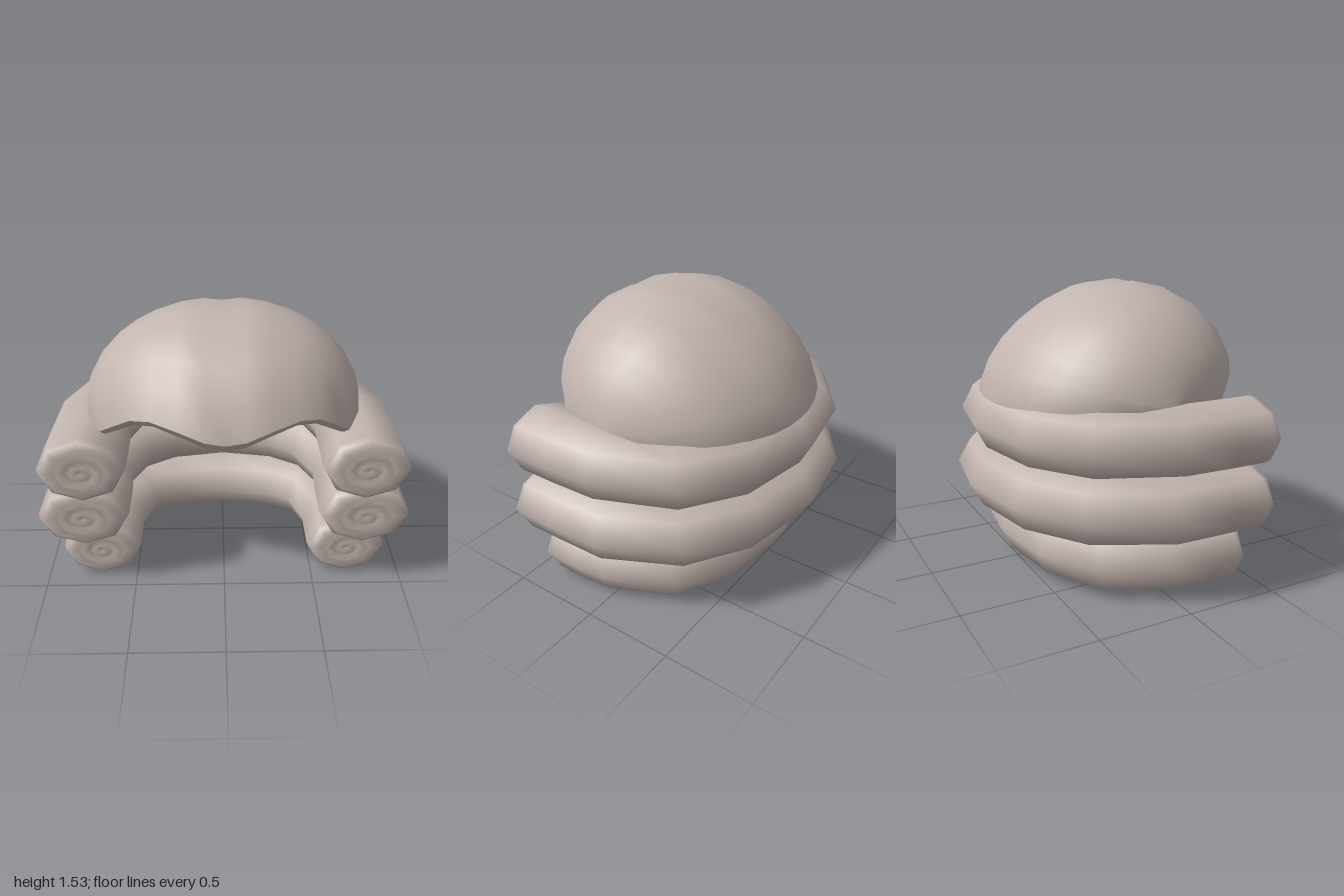
import * as THREE from 'three';

const hair = new THREE.MeshStandardMaterial({ color: 0xc2b4ae, side: THREE.DoubleSide });
hair.name = 'powderedHair';

// Skin a list of equal-length cross-sections with smooth normals.
function loft(name, rings, closed) {
  const n = rings[0].length, index = [];
  const cols = closed ? n : n - 1;
  for (let i = 0; i < rings.length - 1; i++) {
    for (let j = 0; j < cols; j++) {
      const k = (j + 1) % n;
      const a = i * n + j, b = (i + 1) * n + j, c = i * n + k, d = (i + 1) * n + k;
      index.push(a, b, c, b, d, c);
    }
  }
  const geo = new THREE.BufferGeometry();
  geo.setAttribute('position', new THREE.Float32BufferAttribute(rings.flat(2), 3));
  geo.setIndex(index);
  geo.computeVertexNormals();
  const mesh = new THREE.Mesh(geo, hair);
  mesh.name = name;
  return mesh;
}

// Octagonal horseshoe curl, with a swirl of ridges on each front end.
// half: [x, z] centreline from the left front to the back middle.
function makeRoll(name, half, y, halfW, halfH) {
  const path = [...half, ...half.slice(0, -1).reverse().map(([x, z]) => [-x, z])];
  const ring = ([x, z], [nx, nz], s, dz) => Array.from({ length: 8 }, (_, k) => {
    const a = k * Math.PI / 4, r = Math.cos(a) * halfW * s;
    return [x + nx * r, y + Math.sin(a) * halfH * s, z + nz * r + dz];
  });
  const swirl = [[0, 0.045], [0.22, 0.058], [0.35, 0.044], [0.5, 0.062], [0.62, 0.048],
    [0.8, 0.057], [0.95, 0.035]];
  const last = path.length - 1;
  const rings = swirl.map(([s, dz]) => ring(path[0], [1, 0], s, dz));
  path.forEach((p, i) => {
    const q = path[Math.max(i - 1, 0)], r = path[Math.min(i + 1, last)];
    const dx = r[0] - q[0], dz = r[1] - q[1], len = Math.hypot(dx, dz);
    const normal = i === 0 ? [1, 0] : i === last ? [-1, 0] : [-dz / len, dx / len];
    rings.push(ring(p, normal, 1, 0));
  });
  swirl.reverse().forEach(([s, dz]) => rings.push(ring(path[last], [-1, 0], s, dz)));
  return loft(name, rings, true);
}

// Domed cap, made of arcs running from the forehead edge over to the nape.
function makeCap() {
  const RX = 0.745, RY = 0.585, RZ = 0.7, Y0 = 0.95, Z0 = 0.05, ROWS = 10;
  // [x, height of the hairline]
  const hairline = [[0, 1.06], [0.1, 1.085], [0.22, 1.12], [0.36, 1.14], [0.46, 1.115],
    [0.55, 1.05], [0.64, 0.96], [0.715, 0.95], [RX, 0.95]];
  const columns = [...hairline.slice(1).reverse().map(([x, e]) => [-x, e]), ...hairline];
  const shell = [], lip = [];
  for (const [x, edge] of columns) {
    const s = Math.sqrt(Math.max(0, 1 - (x / RX) ** 2));
    const start = s > 0 ? Math.asin((edge - Y0) / (RY * s)) : 0;
    const arc = [];
    for (let j = 0; j <= ROWS; j++) {
      const t = start + (Math.PI - start) * j / ROWS;
      const bulge = Math.sin(2 * t);
      let f = 1 + bulge * (bulge > 0 ? 0.05 : 0.1);
      // centre parting, fading towards the back
      if (x === 0) f -= 0.045 * THREE.MathUtils.clamp((2.4 - t) / 0.8, 0, 1);
      arc.push([x, Y0 + RY * s * f * Math.sin(t), Z0 + RZ * s * f * Math.cos(t)]);
    }
    // hem tucked into the top roll
    const hem = arc[ROWS];
    arc.push([x * 0.97, hem[1] - 0.08, hem[2] * 0.97]);
    shell.push(arc);
    // thickness of the hairline, turned under
    const [ex, ey, ez] = arc[0];
    lip.push([[ex * 0.91, ey - 0.05 * s, ez - 0.075 * s], [ex * 0.96, ey - 0.045 * s, ez - 0.03 * s],
      [ex, ey, ez]]);
  }
  const cap = new THREE.Group();
  cap.name = 'cap';
  cap.add(loft('crown', shell, false), loft('hairlineLip', lip, false));
  return cap;
}

export function createModel() {
  const wig = new THREE.Group();
  wig.name = 'wig';
  wig.add(
    makeCap(),
    makeRoll('topRoll',
      [[0.735, 0.505], [0.735, 0.3], [0.73, 0.06], [0.59, -0.285], [0.355, -0.44], [0, -0.5]],
      0.797, 0.228, 0.183),
    makeRoll('middleRoll',
      [[0.757, 0.455], [0.757, 0.25], [0.757, 0.01], [0.6, -0.305], [0.355, -0.46], [0, -0.52]],
      0.472, 0.243, 0.182),
    makeRoll('bottomRoll',
      [[0.69, 0.355], [0.69, 0.22], [0.68, 0.06], [0.56, -0.21], [0.33, -0.33], [0, -0.375]],
      0.177, 0.218, 0.175),
  );
  return wig;
}
